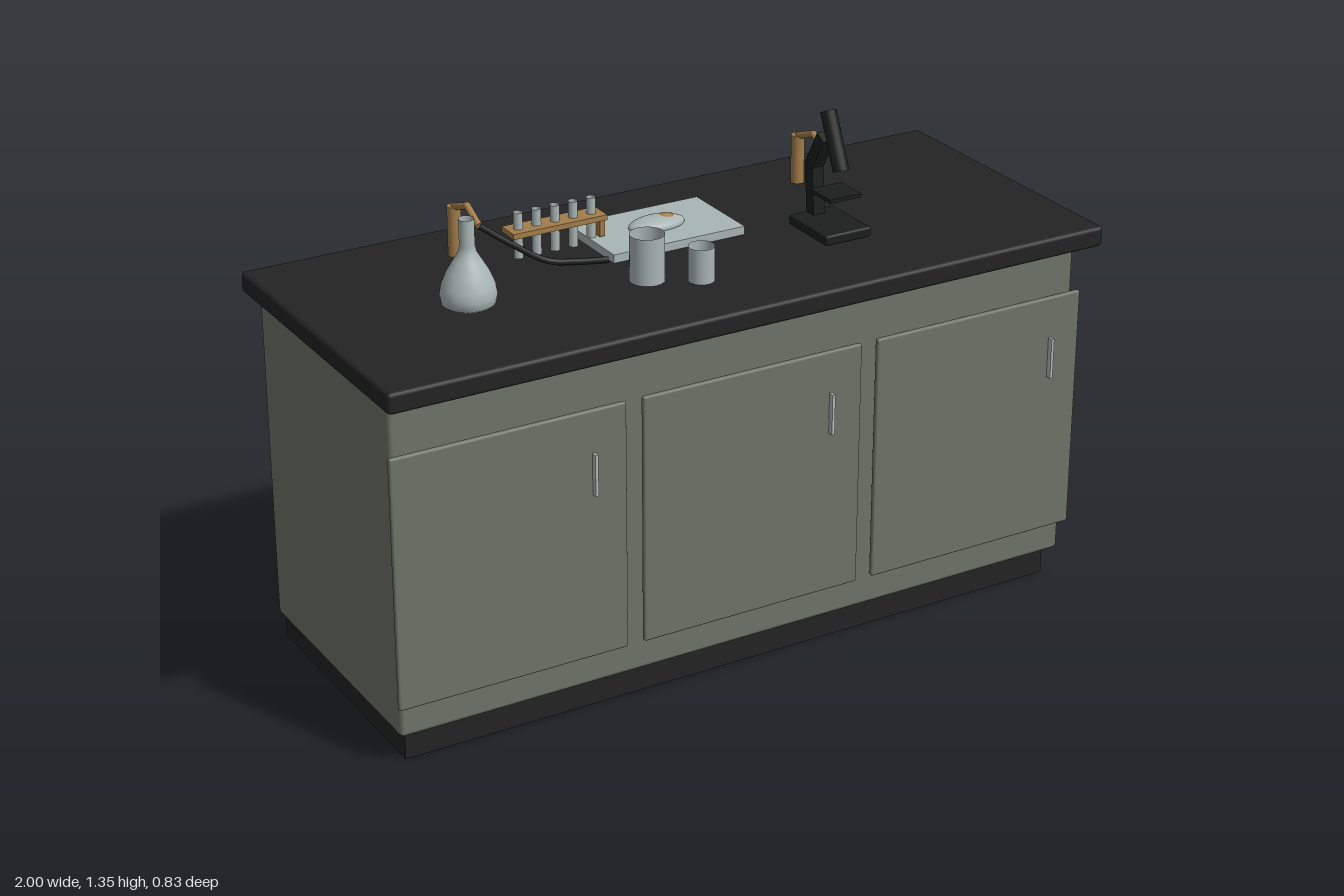
import * as THREE from 'three';
import { RoundedBoxGeometry } from 'three/addons/geometries/RoundedBoxGeometry.js';

function material(name, color, side = THREE.FrontSide) {
  const m = new THREE.MeshStandardMaterial({ color, side });
  m.name = name;
  return m;
}

export function createModel() {
  const green = material('cabinet green', 0x6d7467);
  const black = material('worktop black', 0x232323);
  const dark = material('microscope black', 0x1c1e1e);
  const glass = material('pale glass', 0xa9b6b4, THREE.DoubleSide);
  const brass = material('brass', 0xa37d4b);
  const steel = material('handle steel', 0xb4b9b8);

  const root = new THREE.Group();
  root.name = 'labBench';
  const group = (name) => {
    const g = new THREE.Group();
    g.name = name;
    root.add(g);
    return g;
  };
  const add = (parent, name, geometry, mat, x = 0, y = 0, z = 0) => {
    const mesh = new THREE.Mesh(geometry, mat);
    mesh.name = name;
    mesh.position.set(x, y, z);
    parent.add(mesh);
    return mesh;
  };
  // Box from its low and high corners, with optional rounded edges
  const box = (parent, name, mat, [x0, y0, z0], [x1, y1, z1], r = 0) => {
    const s = [x1 - x0, y1 - y0, z1 - z0];
    const geo = r ? new RoundedBoxGeometry(...s, 2, r) : new THREE.BoxGeometry(...s);
    return add(parent, name, geo, mat, (x0 + x1) / 2, (y0 + y1) / 2, (z0 + z1) / 2);
  };
  // Straight rod between two points; a square section uses a box
  const rod = (parent, name, mat, a, b, r, square = false) => {
    const p = new THREE.Vector3(...a), q = new THREE.Vector3(...b);
    const d = q.clone().sub(p), len = d.length();
    const geo = square ? new THREE.BoxGeometry(2 * r, len, 2 * r)
      : new THREE.CylinderGeometry(r, r, len, 16);
    const mesh = add(parent, name, geo, mat);
    mesh.position.copy(p.add(q).multiplyScalar(0.5));
    mesh.quaternion.setFromUnitVectors(new THREE.Vector3(0, 1, 0), d.normalize());
    return mesh;
  };

  // Cabinet, plinth and worktop
  const bench = group('bench');
  box(bench, 'plinth', black, [-0.943, 0, -0.396], [0.943, 0.08, 0.306]);
  box(bench, 'cabinet', green, [-0.968, 0.082, -0.384], [0.968, 0.968, 0.34], 0.012);
  box(bench, 'worktop', black, [-1, 0.97, -0.416], [1, 1.024, 0.416], 0.01);

  // Three doors standing just proud of the cabinet, with bar handles
  for (const x of [-0.668, 0, 0.668]) {
    box(bench, 'door', green, [x - 0.311, 0.17, 0.348], [x + 0.311, 0.834, 0.363], 0.006);
    box(bench, 'handle', steel, [x + 0.216, 0.612, 0.361], [x + 0.224, 0.722, 0.378]);
  }

  // Gas taps with bent spouts
  for (const x of [-0.5, 0.5]) {
    const tap = group('tap');
    rod(tap, 'tapPost', brass, [x, 1.02, -0.244], [x, 1.155, -0.244], 0.018);
    const pts = [[x, 1.152, -0.244], [x, 1.18, -0.17], [x, 1.148, -0.108]];
    rod(tap, 'spout', brass, pts[0], pts[1], 0.009);
    rod(tap, 'spout', brass, pts[1], pts[2], 0.009);
    add(tap, 'spoutElbow', new THREE.SphereGeometry(0.009, 12, 8), brass, ...pts[1]);
  }

  // Rubber hose hanging from one tap
  const hose = new THREE.CatmullRomCurve3([
    [-0.5, 1.148, -0.108], [-0.42, 1.09, -0.08], [-0.34, 1.042, -0.055],
    [-0.27, 1.034, -0.032], [-0.2, 1.034, -0.005],
  ].map((p) => new THREE.Vector3(...p)));
  add(group('hose'), 'hoseTube', new THREE.TubeGeometry(hose, 28, 0.008, 10), dark);

  // Dissection tray with specimen
  const tray = group('dissectionTray');
  box(tray, 'tray', glass, [-0.188, 1.022, -0.234], [0.188, 1.046, 0.002]);
  const ball = new THREE.SphereGeometry(1, 28, 18);
  add(tray, 'specimen', ball, glass, 0, 1.05, -0.115).scale.set(0.078, 0.022, 0.043);
  add(tray, 'specimenCore', ball, brass, 0.026, 1.06, -0.115).scale.set(0.024, 0.015, 0.02);

  // Test tube rack
  const rack = group('testTubeRack');
  box(rack, 'rackBar', brass, [-0.41, 1.095, -0.165], [-0.148, 1.109, -0.101]);
  box(rack, 'rackEnd', brass, [-0.165, 1.05, -0.156], [-0.15, 1.096, -0.11]);
  for (let i = 0; i < 5; i++) {
    const x = -0.381 + i * 0.051;
    const tube = new THREE.CylinderGeometry(0.012, 0.012, 0.12, 14, 1, true);
    add(rack, 'testTube', tube, glass, x, 1.092, -0.133);
  }

  // Open beakers with a shallow layer of liquid
  for (const [x, z, r, top] of [[-0.169, 0.133, 0.044, 1.145], [-0.056, 0.2, 0.033, 1.114]]) {
    const beaker = group('beaker');
    const h = top - 1.023;
    add(beaker, 'beakerWall', new THREE.CylinderGeometry(r, r, h, 28, 1, true), glass, x, 1.023 + h / 2, z);
    add(beaker, 'liquid', new THREE.CylinderGeometry(r - 0.003, r - 0.003, h * 0.4, 28), brass, x, 1.024 + h * 0.2, z);
  }

  // Conical flask with an open neck
  const flask = group('flask');
  const profile = [[0, 1.026], [0.056, 1.026], [0.066, 1.033], [0.07, 1.055], [0.066, 1.078],
    [0.053, 1.11], [0.034, 1.142], [0.023, 1.16], [0.019, 1.178], [0.019, 1.246]]
    .map(([r, y]) => new THREE.Vector2(r, y));
  add(flask, 'flaskGlass', new THREE.LatheGeometry(profile, 32), glass, -0.613, 0, 0.053);
  add(flask, 'liquid', new THREE.CylinderGeometry(0.05, 0.056, 0.035, 28), brass, -0.613, 1.05, 0.053);

  // Microscope: base, bent arm, stage and tilted barrel
  const scope = group('microscope');
  const mx = 0.387;
  box(scope, 'base', dark, [mx - 0.067, 1.024, 0], [mx + 0.067, 1.051, 0.176], 0.006);
  rod(scope, 'lowerArm', dark, [mx, 1.045, 0.022], [mx, 1.185, 0.01], 0.017, true);
  rod(scope, 'upperArm', dark, [mx, 1.172, 0.008], [mx, 1.268, 0.062], 0.017, true);
  box(scope, 'stage', dark, [mx - 0.046, 1.128, 0.066], [mx + 0.046, 1.138, 0.158]);
  rod(scope, 'barrel', dark, [mx, 1.198, 0.134], [mx, 1.338, 0.07], 0.021);

  return root;
}
